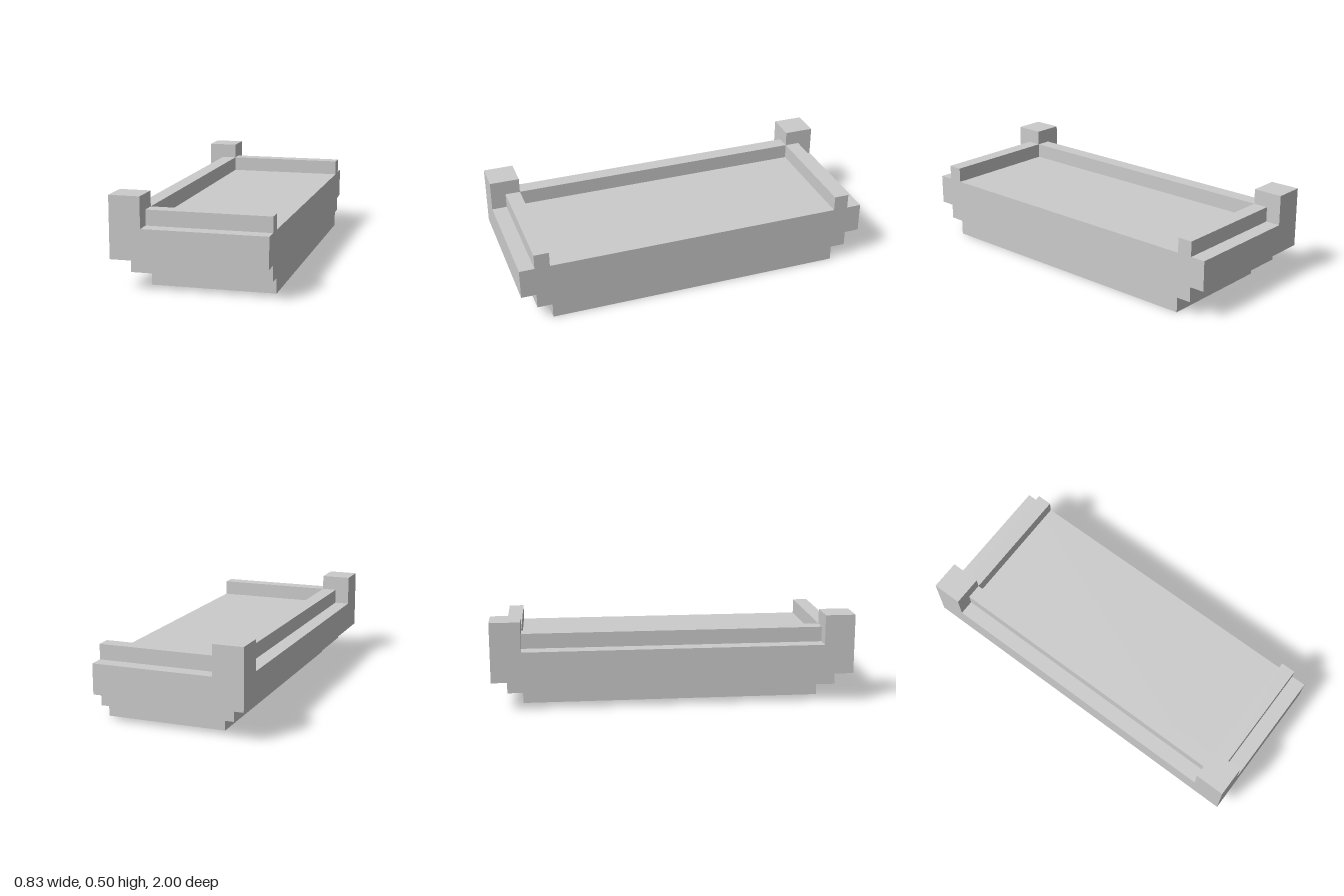
import * as THREE from 'three';

const U = 1 / 12; // module size: every step is a whole number of these

export function createModel() {
  const model = new THREE.Group();
  model.name = 'steppedLedge';
  const material = new THREE.MeshStandardMaterial({ color: 0xcccccc, flatShading: true });

  // Box given by its lower and upper limits, in modules
  const addBox = (name, [x0, x1], [y0, y1], [z0, z1]) => {
    const geometry = new THREE.BoxGeometry((x1 - x0) * U, (y1 - y0) * U, (z1 - z0) * U);
    const mesh = new THREE.Mesh(geometry, material);
    mesh.name = name;
    mesh.position.set((x0 + x1) / 2 * U, (y0 + y1) / 2 * U, (z0 + z1) / 2 * U);
    model.add(mesh);
  };

  // Slab that steps outward on three sides, flush on the +x side
  addBox('lowerStep', [-3, 5], [0, 1], [-10, 10]);
  addBox('middleStep', [-4, 5], [1, 2], [-11, 11]);
  addBox('floorSlab', [-5, 5], [2, 4], [-12, 12]);

  // Long rail between the corner posts
  addBox('longRail', [-4, -3], [4, 5], [-10, 10]);

  // Corner posts and short end rails, mirrored in z
  for (const [side, post, rail] of [
    ['front', [10, 12], [10, 11]],
    ['back', [-12, -10], [-11, -10]],
  ]) {
    addBox(side + 'CornerPost', [-5, -3], [4, 6], post);
    addBox(side + 'EndRail', [-3, 5], [4, 5], rail);
  }

  return model;
}
